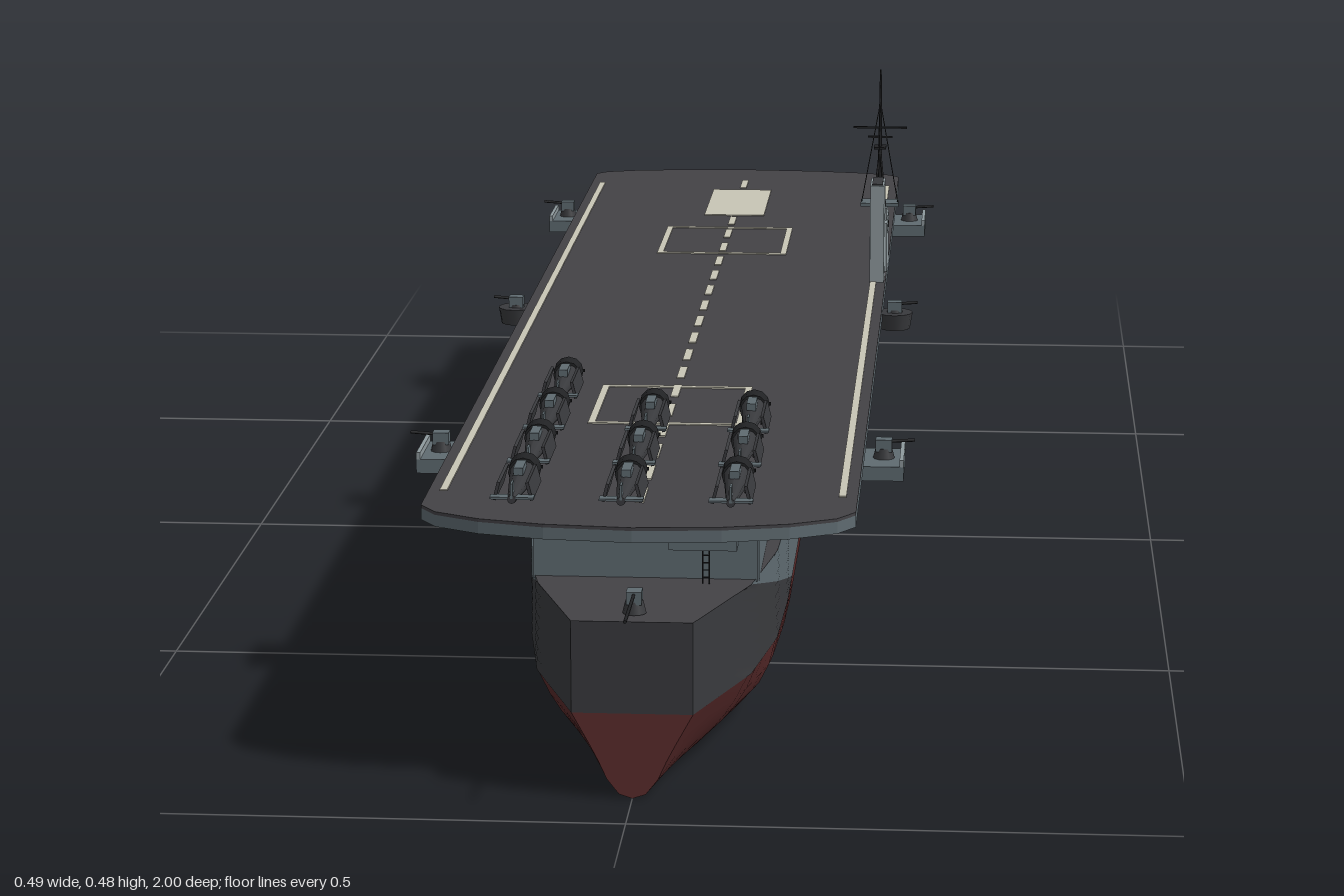
import * as THREE from 'three';

const mat = (name, color, side = THREE.DoubleSide) => {
  const m = new THREE.MeshStandardMaterial({ color, side });
  m.name = name;
  return m;
};

export function createModel() {
  const M = {
    deck: mat('deckGrey', 0x434246), dark: mat('darkGrey', 0x393a3d), mid: mat('midBlueGrey', 0x5f6b71),
    light: mat('lightGrey', 0x8f9a9e), red: mat('hullRed', 0x5c2c2c), cream: mat('cream', 0xc8c5b5),
    black: mat('black', 0x212224),
  };
  const root = new THREE.Group();
  const add = (name, geo, m, parent = root, x = 0, y = 0, z = 0) => {
    const mesh = new THREE.Mesh(geo, m);
    mesh.name = name;
    mesh.position.set(x, y, z);
    parent.add(mesh);
    return mesh;
  };
  const box = (name, m, w, h, d, x, y, z, parent) =>
    add(name, new THREE.BoxGeometry(w, h, d), m, parent, x, y, z);
  const cyl = (name, m, r1, r2, h, x, y, z, parent, n = 12) =>
    add(name, new THREE.CylinderGeometry(r1, r2, h, n), m, parent, x, y, z);
  const rod = (name, m, a, b, r, parent) => {
    const A = new THREE.Vector3(...a), B = new THREE.Vector3(...b), d = B.clone().sub(A);
    const mesh = add(name, new THREE.CylinderGeometry(r, r, d.length(), 6), m, parent);
    mesh.position.copy(A).add(B).multiplyScalar(0.5);
    mesh.quaternion.setFromUnitVectors(new THREE.Vector3(0, 1, 0), d.normalize());
    return mesh;
  };
  // Surface grid from a point rule, i along z and j across
  const grid = (nu, nv, f, flip) => {
    const pos = [], idx = [];
    for (let i = 0; i <= nu; i++) for (let j = 0; j <= nv; j++) pos.push(...f(i / nu, j / nv));
    for (let i = 0; i < nu; i++) for (let j = 0; j < nv; j++) {
      const a = i * (nv + 1) + j, b = a + 1, c = a + nv + 1, d = c + 1;
      idx.push(...(flip ? [a, c, b, b, c, d] : [a, b, c, b, d, c]));
    }
    const g = new THREE.BufferGeometry();
    g.setAttribute('position', new THREE.Float32BufferAttribute(pos, 3));
    g.setIndex(idx);
    g.computeVertexNormals();
    return g;
  };
  const lerp = THREE.MathUtils.lerp, clamp = THREE.MathUtils.clamp;
  const table = (t) => (z) => {
    let i = 1;
    while (i < t.length - 1 && z > t[i][0]) i++;
    const [z0, a] = t[i - 1], [z1, b] = t[i];
    return lerp(a, b, clamp((z - z0) / (z1 - z0), 0, 1));
  };

  // Hull form: half breadths, sheer and fullness of the bottom
  const BOW = -1, STERN = 0.93, WL = 0.08;
  const deckB = table([[-1, 0.004], [-0.98, 0.02], [-0.95, 0.037], [-0.9, 0.056], [-0.8, 0.083], [-0.7, 0.103],
    [-0.55, 0.119], [-0.4, 0.122], [0.55, 0.122], [0.68, 0.118], [0.8, 0.1], [0.93, 0.055]]);
  const waterB = table([[-1, 0.002], [-0.95, 0.015], [-0.85, 0.045], [-0.7, 0.084], [-0.55, 0.11], [-0.38, 0.122],
    [0.55, 0.122], [0.68, 0.118], [0.8, 0.1], [0.93, 0.055]]);
  const sheer = table([[-1, 0.185], [-0.8, 0.178], [-0.5, 0.169], [-0.2, 0.166], [0.93, 0.166]]);
  const full = table([[-1, 0], [-0.5, 0.8], [-0.3, 1], [0.45, 1], [0.7, 0.75], [0.93, 0]]);
  const bilge = [0, 0.25, 0.4, 0.55, 0.7, 0.85, 1].map((k, i) => [
    [0, 0.22, 0.42, 0.56, 0.7, 0.85, 1][i], [0, 0.004, 0.018, 0.035, 0.05, 0.065, 0.08][i],
    [0, 0.4, 0.68, 0.82, 0.92, 0.98, 1][i], [0, 0.005, 0.01, 0.019, 0.033, 0.053, 0.08][i]]);
  const bottom = (z, j) => {
    const [x0, y0, x1, y1] = bilge[Math.round(j * 6)], f = full(z);
    return [waterB(z) * lerp(x0, x1, f), lerp(y0, y1, f), z];
  };
  // Slanted camouflage bands, [start, end, colour], from bow to stern on each side
  const bands = {
    1: [[-1.5, -0.95, 'light'], [-0.95, -0.78, 'mid'], [-0.78, -0.48, 'dark'], [-0.48, -0.03, 'light'],
      [-0.03, 0.46, 'mid'], [0.46, 0.94, 'dark']],
    '-1': [[-1.5, -0.78, 'light'], [-0.78, -0.57, 'red'], [-0.57, -0.2, 'light'], [-0.2, 0.12, 'dark'],
      [0.12, 0.46, 'mid'], [0.46, 0.94, 'dark']],
  };
  for (const s of [1, -1]) {
    add('lowerHull', grid(64, 6, (u, v) => {
      const [x, y, z] = bottom(lerp(BOW, STERN, u), v);
      return [x * s, y, z];
    }, s < 0), M.red);
    for (const [u0, u1, c] of bands[s]) {
      add('hullSide', grid(24, 8, (u, t) => {
        const z = clamp(lerp(u0, u1, u) + 0.34 * t, BOW, STERN);
        return [s * lerp(waterB(z), deckB(z), t ** 1.5), lerp(WL, sheer(z), t), z];
      }, s < 0), M[c]);
      add('hangarSide', grid(2, 1, (u, t) => {
        const y = lerp(0.163, 0.24, t);
        return [s * 0.106, y, clamp(lerp(u0, u1, u) + 4 * (y - WL), -0.72, 0.78)];
      }, s < 0), M[c]);
    }
    // Portholes on hull and hangar
    for (let i = 0; i < 30; i++) box('porthole', M.black, 0.003, 0.005, 0.006, s * 0.106, 0.212, 0.62 - i * 0.043);
    for (let i = 0; i < 14; i++) box('porthole', M.black, 0.003, 0.005, 0.006, s * 0.122, 0.15, 0.5 - i * 0.045);
  }
  add('mainDeck', grid(64, 1, (u, v) => {
    const z = lerp(BOW, STERN, u);
    return [deckB(z) * (2 * v - 1), sheer(z) - 0.001, z];
  }, true), M.deck);
  const half = bilge.map((_, i) => bottom(STERN, i / 6));
  const outline = [...half, ...half.slice(1).reverse().map(([x, y]) => [-x, y])];
  add('lowerTransom', new THREE.ShapeGeometry(new THREE.Shape(outline.map(([x, y]) => new THREE.Vector2(x, y)))),
    M.red, root, 0, 0, STERN);
  add('upperTransom', new THREE.PlaneGeometry(0.11, 0.086), M.dark, root, 0, 0.123, STERN);
  box('hangar', M.mid, 0.21, 0.077, 1.499, 0, 0.2015, 0.03);

  // Flight deck with rounded ends
  const edge = [[0.198, -0.86], [0.185, -0.875], [0.15, -0.887], [0.09, -0.897], [0, -0.902]];
  const aft = [[0, 0.93], [0.08, 0.923], [0.14, 0.908], [0.182, 0.886], [0.198, 0.862]];
  const right = [...aft, ...edge];
  const pts = [...right, ...right.slice(1, -1).reverse().map(([x, z]) => [-x, z])];
  const deckShape = new THREE.Shape(pts.map(([x, z]) => new THREE.Vector2(x, -z)));
  const slab = (name, m, y, h) => add(name,
    new THREE.ExtrudeGeometry(deckShape, { depth: h, bevelEnabled: false }).rotateX(-Math.PI / 2), m, root, 0, y, 0);
  slab('flightDeckSlab', M.mid, 0.239, 0.011);
  slab('flightDeckSurface', M.deck, 0.25, 0.003);

  // Deck markings
  const mark = (w, d, x, z) => box('deckMarking', M.cream, w, 0.0015, d, x, 0.2535, z);
  for (let i = 0; i < 20; i++) mark(0.008, 0.052, 0, -0.79 + i * 0.0845);
  for (const s of [1, -1]) mark(0.007, 1.6, s * 0.184, 0.01);
  mark(0.074, 0.176, 0, -0.66);
  for (const z of [-0.41, 0.455]) for (const s of [1, -1]) {
    mark(0.15, 0.007, 0, z + s * 0.08);
    mark(0.007, 0.167, s * 0.073, z);
  }

  // Deck supports, gun platforms and tubs
  const gun = (x, y, z, yaw, len = 0.04) => {
    const g = new THREE.Group();
    g.name = 'deckGun';
    g.position.set(x, y, z);
    g.rotation.y = yaw;
    cyl('gunBase', M.dark, 0.008, 0.011, 0.012, 0, 0.006, 0, g);
    box('gunMount', M.mid, 0.014, 0.012, 0.016, 0, 0.015, 0, g);
    rod('gunBarrel', M.black, [0, 0.018, 0], [0, 0.02, len], 0.0016, g);
    root.add(g);
  };
  for (const s of [1, -1]) {
    for (let i = 0; i < 11; i++) {
      const z = 0.74 - i * 0.145;
      const strut = box('deckStrut', M.black, 0.1, 0.01, 0.008, s * 0.143, 0.222, z);
      strut.rotation.z = s * 0.36;
      box('deckBeam', M.dark, 0.09, 0.006, 0.008, s * 0.15, 0.237, z);
    }
    for (const z of [-0.66, 0.58]) {
      box('gunPlatform', M.mid, 0.062, 0.014, 0.075, s * 0.205, 0.227, z);
      box('platformRail', M.light, 0.004, 0.007, 0.075, s * 0.234, 0.237, z);
      gun(s * 0.216, 0.232, z, s * Math.PI / 2, 0.03);
    }
    const tub = cyl('gunTub', M.dark, 0.02, 0.017, 0.018, s * 0.212, 0.238, -0.04);
    tub.scale.z = 1.1;
    gun(s * 0.212, 0.238, -0.04, s * Math.PI / 2, 0.025);
    gun(s * 0.025, 0.18, -0.9, Math.PI, 0.03);
    // Posts under the overhanging ends of the flight deck
    rod('bowPost', M.dark, [s * 0.06, 0.176, -0.84], [s * 0.06, 0.24, -0.84], 0.003);
    rod('deckBrace', M.black, [s * 0.075, 0.205, 0.79], [s * 0.13, 0.22, 0.79], 0.002);
  }
  gun(0, 0.166, 0.9, 0, 0.1);
  box('sternGallery', M.mid, 0.062, 0.014, 0.1, 0.061, 0.229, 0.84);
  for (const x of [0.055, 0.061]) rod('ladderRail', M.black, [x, 0.166, 0.8], [x, 0.225, 0.8], 0.0008);
  for (let i = 0; i < 8; i++) box('ladderRung', M.black, 0.006, 0.001, 0.001, 0.058, 0.172 + i * 0.007, 0.8);

  // Island and mast
  const island = new THREE.Group();
  island.name = 'island';
  island.position.set(0.188, 0, 0);
  root.add(island);
  box('funnel', M.light, 0.016, 0.115, 0.052, 0, 0.308, -0.197, island);
  box('funnelCap', M.dark, 0.012, 0.002, 0.046, 0, 0.366, -0.197, island);
  box('bridgeBase', M.light, 0.02, 0.06, 0.085, 0, 0.28, -0.278, island);
  box('bridgeTop', M.light, 0.018, 0.016, 0.052, 0, 0.316, -0.28, island);
  box('bridgeWindows', M.black, 0.0205, 0.006, 0.07, 0, 0.3, -0.279, island);
  box('bridgePlatform', M.mid, 0.044, 0.004, 0.03, 0, 0.325, -0.285, island);
  cyl('mast', M.black, 0.001, 0.003, 0.158, 0, 0.404, -0.28, island, 8);
  box('yardArm', M.black, 0.062, 0.002, 0.003, 0, 0.415, -0.28, island);
  box('shortYard', M.black, 0.028, 0.002, 0.003, 0, 0.404, -0.28, island);
  box('radar', M.black, 0.014, 0.002, 0.022, 0, 0.392, -0.28, island);
  for (const s of [1, -1]) {
    rod('maststay', M.black, [0, 0.445, -0.28], [s * 0.021, 0.327, -0.28], 0.0006, island);
    rod('mastLeg', M.black, [0, 0.39, -0.28], [s * 0.007, 0.325, -0.262], 0.0012, island);
  }
  rod('maststay', M.black, [0, 0.445, -0.28], [0, 0.366, -0.22], 0.0006, island);

  // Parked aircraft with folded wings, noses toward the bow
  const plane = (x, z) => {
    const p = new THREE.Group();
    p.name = 'parkedAircraft';
    p.position.set(x, 0.253, z);
    root.add(p);
    add('fuselage', new THREE.CylinderGeometry(0.004, 0.013, 0.1, 10).rotateX(Math.PI / 2), M.dark, p, 0, 0.013, 0.008);
    add('engineCowl', new THREE.CylinderGeometry(0.014, 0.015, 0.02, 12).rotateX(Math.PI / 2), M.black, p, 0, 0.014, -0.047);
    box('propeller', M.black, 0.032, 0.003, 0.002, 0, 0.014, -0.06, p);
    box('canopy', M.mid, 0.009, 0.007, 0.03, 0, 0.025, -0.012, p);
    box('tailplane', M.mid, 0.04, 0.002, 0.012, 0, 0.014, 0.052, p);
    box('tailFin', M.mid, 0.002, 0.014, 0.014, 0, 0.021, 0.052, p);
    for (const s of [1, -1]) {
      box('foldedWing', M.dark, 0.003, 0.017, 0.07, s * 0.015, 0.018, 0.013, p).rotation.z = s * 0.25;
      cyl('wheel', M.black, 0.004, 0.004, 0.003, s * 0.009, 0.004, -0.03, p, 8).rotation.z = Math.PI / 2;
    }
  };
  for (const x of [-0.112, -0.013, 0.086]) for (const z of [0.56, 0.695, 0.83]) plane(x, z);
  plane(-0.112, 0.425);
  return root;
}
